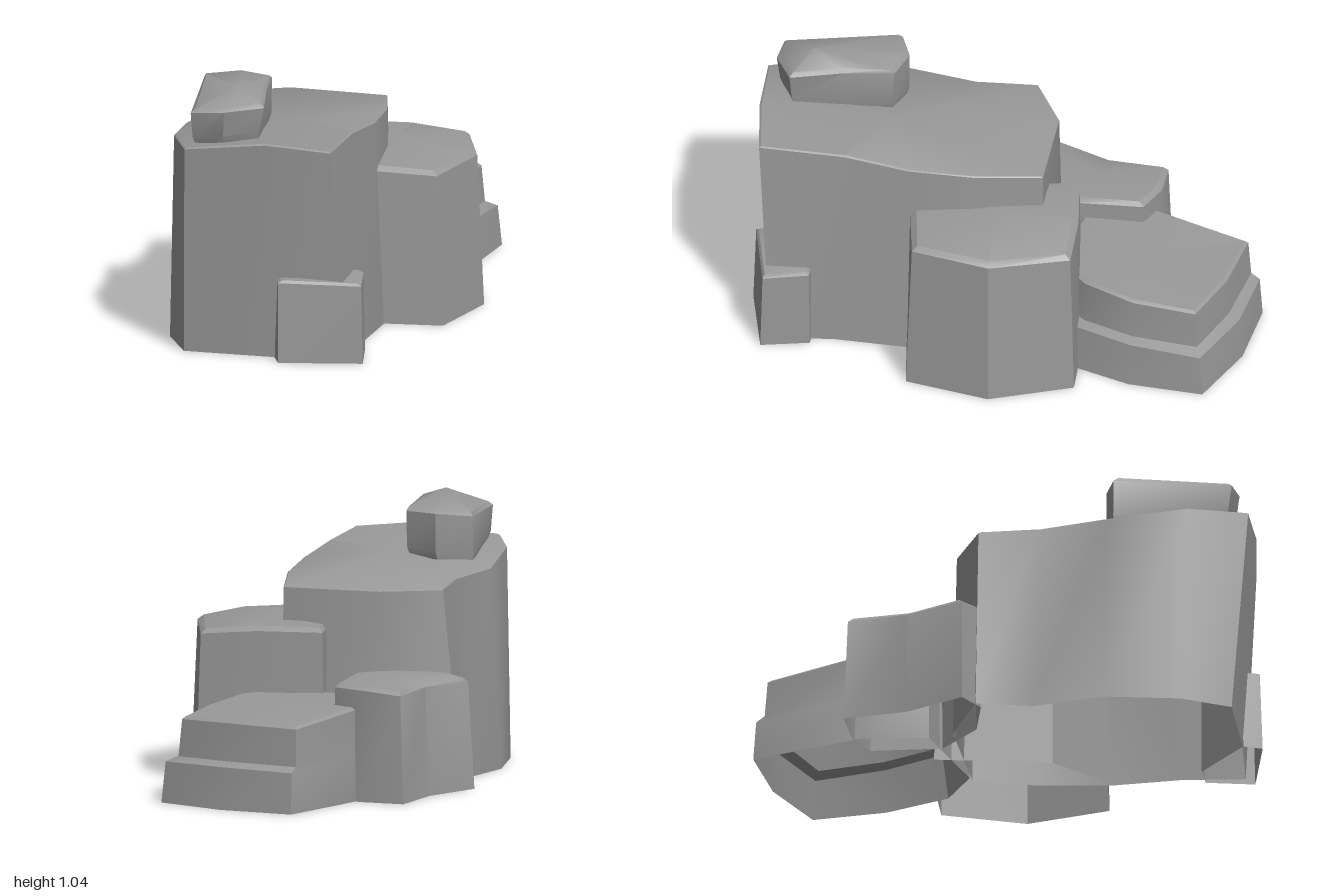
import * as THREE from 'three';
import { toCreasedNormals } from 'three/addons/utils/BufferGeometryUtils.js';

const stone = new THREE.MeshStandardMaterial({ color: 0x999999, side: THREE.DoubleSide });
stone.name = 'grey stone';

// Moves a ring of [x, y, z] points towards its peak by a fixed distance, and up
function inset(ring, peak, distance, lift) {
  return ring.map(([x, y, z]) => {
    const dx = peak[0] - x, dz = peak[2] - z;
    const k = distance / Math.hypot(dx, dz);
    return [x + dx * k, y + lift, z + dz * k];
  });
}

// Rock with an open base: stacked rings (clockwise from above), bevelled rim, fan top
function rock(name, rings, peak, bevel = 0.015, lift = 0.012) {
  const all = [...rings, inset(rings[rings.length - 1], peak, bevel, lift)];
  const n = rings[0].length;
  const pos = [];
  const tri = (a, b, c) => pos.push(...a, ...b, ...c);
  for (let i = 0; i < n; i++) {
    const j = (i + 1) % n;
    for (let r = 0; r + 1 < all.length; r++) {
      tri(all[r][j], all[r][i], all[r + 1][i]);
      tri(all[r][j], all[r + 1][i], all[r + 1][j]);
    }
    const rim = all[all.length - 1];
    tri(peak, rim[j], rim[i]);
  }
  const geometry = new THREE.BufferGeometry();
  geometry.setAttribute('position', new THREE.Float32BufferAttribute(pos, 3));
  const mesh = new THREE.Mesh(toCreasedNormals(geometry, 0.55), stone);
  mesh.name = name;
  return mesh;
}

// Ring at one height from [x, z] pairs
const flat = (y, pairs) => pairs.map(([x, z]) => [x, y, z]);

export function createModel() {
  const group = new THREE.Group();
  group.name = 'rockCluster';

  // Tall main boulder, leaning out over its front corner
  group.add(rock('mainBoulder', [
    flat(0, [[0.13, -0.25], [0.27, -0.03], [0.38, 0.23], [0.44, 0.5], [0.53, 0.73], [0.24, 0.84],
      [-0.1, 0.94], [-0.25, 0.79], [-0.385, 0.52], [-0.41, 0.24], [-0.52, 0.04], [-0.3, -0.15]]),
    [[0.12, 0.765, -0.245], [0.25, 0.785, -0.02], [0.34, 0.805, 0.23], [0.39, 0.835, 0.48],
      [0.475, 0.845, 0.8], [0.24, 0.868, 0.9], [-0.065, 0.832, 0.995], [-0.22, 0.82, 0.81],
      [-0.335, 0.78, 0.52], [-0.36, 0.775, 0.24], [-0.445, 0.765, 0.02], [-0.26, 0.765, -0.15]],
  ], [0.08, 0.835, 0.42], 0.008, 0.005));

  // Stone perched on the main boulder
  group.add(rock('topStone', [
    flat(0.81, [[-0.26, 0.51], [-0.14, 0.44], [-0.01, 0.45], [0.06, 0.61], [0.14, 0.79],
      [0.04, 0.87], [-0.07, 0.89]]),
    [[-0.262, 0.83, 0.51], [-0.14, 0.84, 0.43], [0, 0.85, 0.44], [0.07, 0.865, 0.61],
      [0.158, 0.885, 0.8], [0.05, 0.875, 0.895], [-0.075, 0.86, 0.915]],
    [[-0.258, 0.98, 0.51], [-0.14, 0.99, 0.43], [0, 0.99, 0.435], [0.078, 0.995, 0.61],
      [0.178, 0.985, 0.8], [0.06, 0.975, 0.905], [-0.075, 0.96, 0.93]],
  ], [0.03, 1.04, 0.76], 0.02, 0.015));

  // Medium boulder on the model's left
  group.add(rock('sideBoulder', [
    flat(0, [[-0.11, -0.31], [0.14, -0.415], [0.37, -0.485], [0.575, -0.21], [0.59, 0.13],
      [0.34, 0.235], [0.1, 0.1]]),
    [[-0.1, 0.61, -0.305], [0.14, 0.61, -0.405], [0.36, 0.59, -0.465], [0.55, 0.6, -0.2],
      [0.555, 0.595, 0.12], [0.33, 0.61, 0.225], [0.1, 0.61, 0.1]],
  ], [0.24, 0.65, -0.1], 0.025, 0.018));

  // Small boulder on the model's right
  group.add(rock('smallBoulder', [
    flat(0, [[-0.595, -0.485], [-0.42, -0.525], [-0.28, -0.505], [-0.19, -0.24], [-0.3, -0.05],
      [-0.48, 0.045], [-0.595, 0.015], [-0.555, -0.24]]),
    [[-0.575, 0.42, -0.475], [-0.42, 0.435, -0.515], [-0.285, 0.435, -0.495], [-0.2, 0.44, -0.24],
      [-0.3, 0.44, -0.06], [-0.47, 0.43, 0.03], [-0.572, 0.42, 0.005], [-0.535, 0.425, -0.24]],
  ], [-0.4, 0.46, -0.24], 0.022, 0.016));

  // Low stepped boulder at the back, with a ledge around two sides
  group.add(rock('steppedBoulder', [
    flat(0, [[-0.385, -0.955], [-0.085, -1], [0.215, -0.96], [0.265, -0.67], [0.24, -0.4],
      [0.1, -0.25], [-0.3, -0.25], [-0.4, -0.5]]),
    [[-0.38, 0.16, -0.945], [-0.085, 0.165, -0.985], [0.205, 0.16, -0.945], [0.25, 0.175, -0.67],
      [0.23, 0.185, -0.42], [0.1, 0.19, -0.25], [-0.3, 0.19, -0.25], [-0.395, 0.18, -0.5]],
    [[-0.378, 0.18, -0.91], [-0.09, 0.182, -0.94], [0.165, 0.18, -0.915], [0.21, 0.19, -0.66],
      [0.19, 0.195, -0.45], [0.09, 0.2, -0.26], [-0.3, 0.2, -0.26], [-0.393, 0.19, -0.5]],
    [[-0.372, 0.325, -0.9], [-0.095, 0.33, -0.93], [0.155, 0.325, -0.905], [0.2, 0.34, -0.66],
      [0.18, 0.36, -0.45], [0.08, 0.365, -0.27], [-0.3, 0.365, -0.27], [-0.388, 0.355, -0.51]],
  ], [-0.09, 0.362, -0.6], 0.014, 0.01));

  // Little block at the foot of the front corner
  group.add(rock('footStone', [
    flat(0, [[0.5, 0.575], [0.59, 0.745], [0.3, 0.9], [0.25, 0.84], [0.4, 0.6]]),
    [[0.497, 0.315, 0.58], [0.58, 0.308, 0.74], [0.295, 0.318, 0.89], [0.255, 0.318, 0.83],
      [0.4, 0.318, 0.6]],
  ], [0.41, 0.33, 0.73], 0.018, 0.01));

  return group;
}
